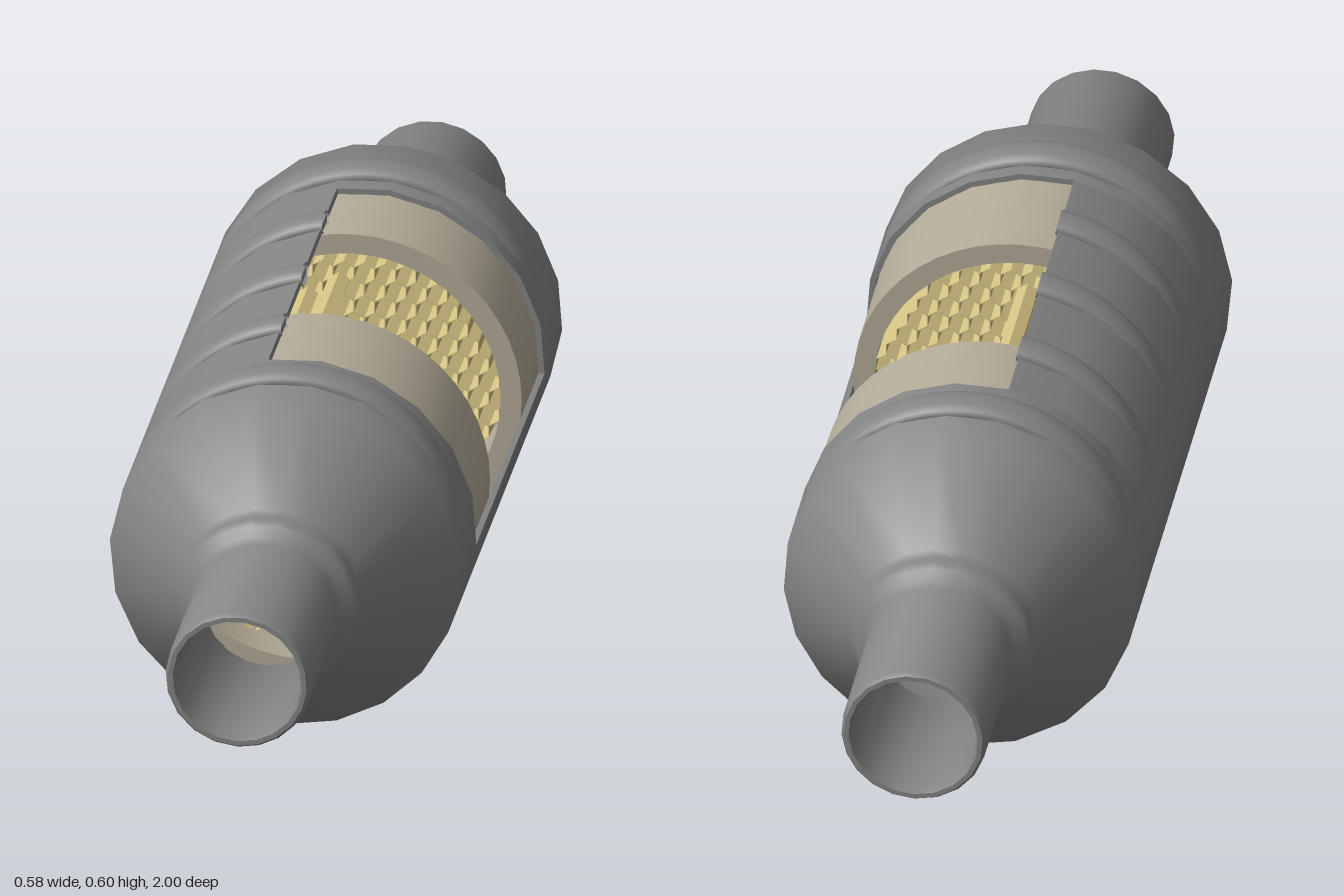
import * as THREE from 'three';
import { mergeGeometries, toCreasedNormals } from 'three/addons/utils/BufferGeometryUtils.js';

const rad = THREE.MathUtils.degToRad;
const R = 0.2925;                              // body radius, also the height of the axis
const OPEN_FROM = -4.5, OPEN_TO = 101;         // window in degrees, counted from +x towards +y

const steel = new THREE.MeshStandardMaterial({ color: 0x848484, side: THREE.DoubleSide });
steel.name = 'grey steel';
const matting = new THREE.MeshStandardMaterial({ color: 0xb3ab98 });
matting.name = 'beige matting';
const ceramic = new THREE.MeshStandardMaterial({ color: 0xd4c284, side: THREE.DoubleSide });
ceramic.name = 'yellow ceramic';

// Arcs around the axis as [from, to, segments]; the last one is the window
const LOWER_ARCS = [[OPEN_TO, 270, 9], [270, OPEN_FROM + 360, 5]];
const ALL_ARCS = [...LOWER_ARCS, [OPEN_FROM, OPEN_TO, 6]];

// Turns a profile of [radius, z] points around the z axis, over the given arcs
function turned(profile, arcs) {
  const points = profile.map(([r, z]) => new THREE.Vector2(r, z));
  const pieces = arcs.map(([from, to, segments]) =>
    new THREE.LatheGeometry(points, segments, rad(from + 90), rad(to - from)).rotateX(Math.PI / 2));
  return toCreasedNormals(mergeGeometries(pieces), 0.9);
}

// Centres of a hexagonal lattice inside a disc
const CELL = 0.02, PITCH = CELL * Math.sqrt(3);
function lattice(radius) {
  const centres = [];
  for (let row = -8; row <= 8; row++) {
    for (let col = -8; col <= 8; col++) {
      const x = (col + (row & 1) / 2) * PITCH, y = row * CELL * 1.5;
      if (Math.hypot(x, y) < radius) centres.push([x, y]);
    }
  }
  return centres;
}

// Open hexagonal cells with thin rims
function honeycomb(radius, length) {
  const rim = () => new THREE.RingGeometry(CELL - 0.001, CELL, 6, 1, Math.PI / 2).toNonIndexed();
  const tube = new THREE.CylinderGeometry(CELL, CELL, length, 6, 1, true).rotateX(Math.PI / 2).toNonIndexed();
  tube.computeVertexNormals();
  const cell = mergeGeometries([
    tube,
    rim().translate(0, 0, length / 2),
    rim().rotateY(Math.PI).translate(0, 0, -length / 2),
  ]);
  return mergeGeometries(lattice(radius).map(([x, y]) => cell.clone().translate(x, y, 0)));
}

// Zigzag outer walls of the lattice, left out on the side of the window
function zigzagWall(radius, length) {
  const walls = [];
  for (const [x, y] of lattice(radius)) {
    for (let a = 0; a < 360; a += 60) {
      const dx = Math.cos(rad(a)), dy = Math.sin(rad(a));
      const angle = THREE.MathUtils.radToDeg(Math.atan2(y + dy * PITCH / 2, x + dx * PITCH / 2));
      const outer = Math.hypot(x + dx * PITCH, y + dy * PITCH) >= radius;
      if (!outer || (angle > -6 && angle < 92)) continue;
      walls.push(new THREE.PlaneGeometry(length, CELL).rotateY(-Math.PI / 2)
        .translate(PITCH / 2, 0, 0).rotateZ(rad(a)).translate(x, y, 0));
    }
  }
  return mergeGeometries(walls);
}

export function createModel() {
  const model = new THREE.Group();
  model.name = 'catalyticConverter';
  const core = new THREE.Group();
  core.name = 'converter';
  core.position.y = R;
  model.add(core);

  const add = (name, geo, material, z = 0) => {
    const mesh = new THREE.Mesh(geo, material);
    mesh.name = name;
    mesh.position.z = z;
    core.add(mesh);
    return mesh;
  };

  // Shell: a cut-open sleeve between two closed ends
  const inner = R - 0.01;
  add('openShell', turned([[R, -0.34], [R, 0.35], [inner, 0.35], [inner, -0.34], [R, -0.34]], LOWER_ARCS), steel);
  for (const angle of [OPEN_FROM, OPEN_TO]) {
    const lip = add('windowLip', new THREE.BoxGeometry(0.01, 0.002, 0.69), steel, 0.005);
    lip.position.x = (R - 0.005) * Math.cos(rad(angle));
    lip.position.y = (R - 0.005) * Math.sin(rad(angle));
    lip.rotation.z = rad(angle);
  }

  // Each end: rim of the window, cone, collar and pipe in one skin
  const endProfile = (start) => [
    [inner, start], [R, start], [R, 0.518], [0.157, 0.652], [0.15, 0.664], [0.153, 0.685],
    [0.146, 0.697], [0.13, 0.702], [0.121, 0.715], [0.121, 0.992], [0.116, 1], [0.108, 1],
    [0.105, 0.992], [0.105, 0.7], [0.145, 0.65], [inner, 0.513], [inner, start],
  ];
  add('frontEnd', turned(endProfile(0.35), ALL_ARCS), steel);
  add('rearEnd', turned(endProfile(0.34).map(([r, z]) => [r, -z]).reverse(), ALL_ARCS), steel);

  // Pressed ribs, centred a little high so that they fade into the sides
  const rib = (name, z, from, to, widen) => {
    const tube = 0.015, lift = 0.024;
    const geo = new THREE.TorusGeometry(R + 0.015 - lift - tube, tube, 12, 24, rad(to - from));
    add(name, geo.rotateZ(rad(from)).scale(1, 1, widen).translate(0, lift, 0), steel, z);
  };
  for (const z of [-0.41, 0.415]) rib('longRib', z, 5, 175, 2.5);
  for (const z of [-0.205, 0.005, 0.21]) rib('shortRib', z, OPEN_TO, 175, 2.2);

  // Matting sleeves around the two bricks
  const sleeve = (a, b) => [[0.245, a], [0.28, a], [0.28, b], [0.245, b], [0.245, a]];
  const round = [[-90, 270, 48]];
  add('frontMat', turned(sleeve(0.14, 0.36), round), matting);
  add('rearMat', turned(sleeve(-0.36, -0.18), round), matting);

  // Honeycomb bricks and the open zigzag wall between them
  add('frontBrick', honeycomb(0.238, 0.16), ceramic, 0.22);
  add('rearBrick', honeycomb(0.238, 0.16), ceramic, -0.26);
  add('middleWall', zigzagWall(0.216, 0.237), ceramic, -0.018);

  return model;
}
